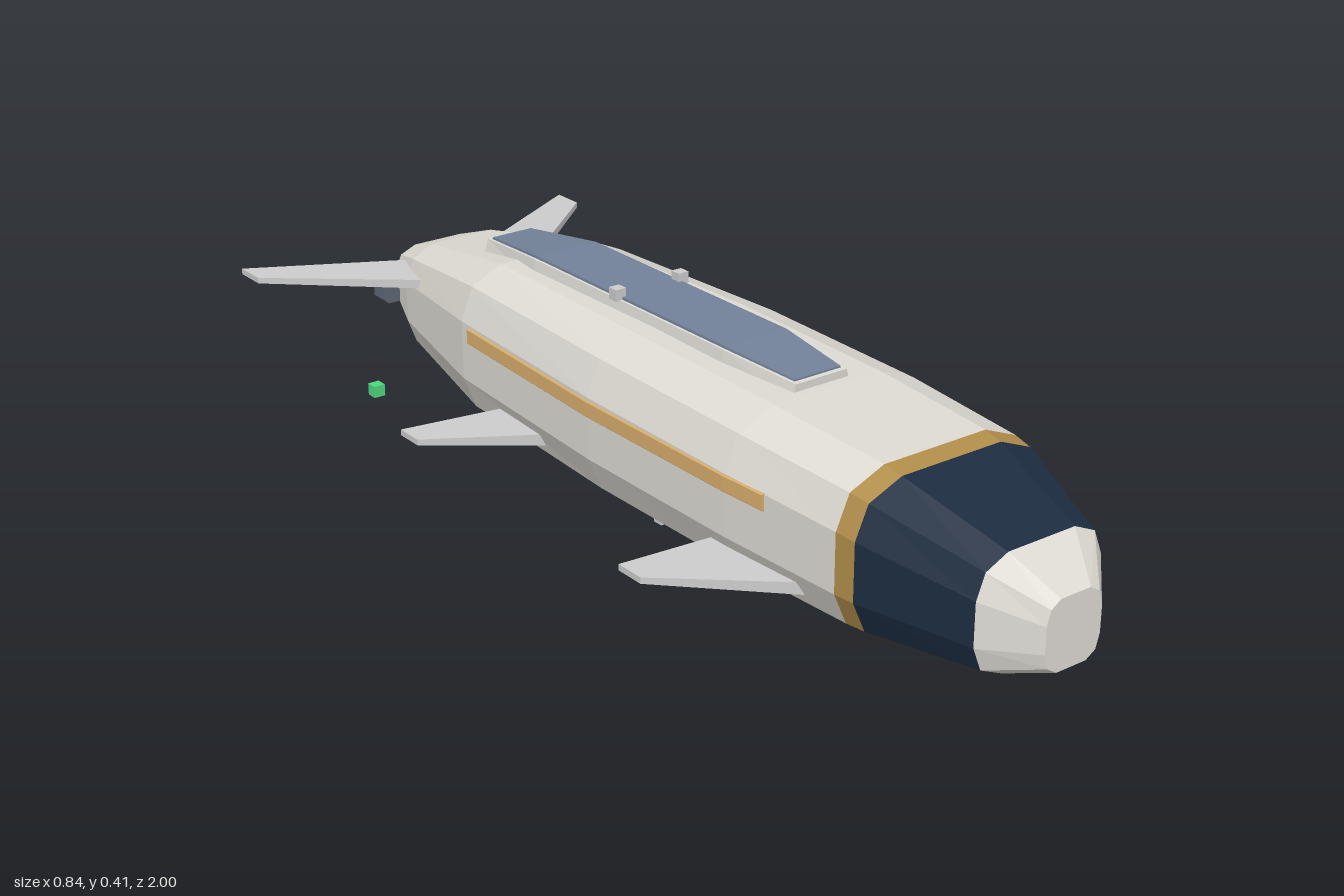
import * as THREE from 'three';

const mat = (color) => new THREE.MeshStandardMaterial({ color, flatShading: true });
const V = (x, y, z) => new THREE.Vector3(x, y, z);

// Skin a row of rings. The first ring runs counter-clockwise seen from outside its end.
function loft(rings, capStart = true, capEnd = true) {
  const pos = [];
  const tri = (...pts) => pts.forEach((p) => pos.push(p.x, p.y, p.z));
  const n = rings[0].length;
  for (let i = 0; i < rings.length - 1; i++) {
    const a = rings[i], b = rings[i + 1];
    for (let j = 0; j < n; j++) {
      const k = (j + 1) % n;
      tri(a[j], b[j], a[k]);
      tri(a[k], b[j], b[k]);
    }
  }
  const first = rings[0], last = rings[rings.length - 1];
  for (let j = 1; j < n - 1; j++) {
    if (capStart) tri(first[0], first[j], first[j + 1]);
    if (capEnd) tri(last[0], last[j + 1], last[j]);
  }
  const g = new THREE.BufferGeometry();
  g.setAttribute('position', new THREE.Float32BufferAttribute(pos, 3));
  g.computeVertexNormals();
  return g;
}

// Twelve-sided hull section
const QUARTER = [[1, 0.38], [0.87, 0.8], [0.53, 1]];
function hullRing([z, hw, bottom, top]) {
  const cy = (top + bottom) / 2, hh = (top - bottom) / 2;
  const up = [...QUARTER, ...QUARTER.map(([x, y]) => [-x, y]).reverse()];
  const all = [...up, ...up.map(([x, y]) => [-x, -y])];
  return all.map(([x, y]) => V(x * hw, cy + y * hh, z));
}

// Chamfered rectangle section
function octRing(cx, cy, z, hw, hh, c) {
  return [[hw, -hh + c], [hw, hh - c], [hw - c, hh], [-hw + c, hh],
    [-hw, hh - c], [-hw, -hh + c], [-hw + c, -hh], [hw - c, -hh]]
    .map(([x, y]) => V(cx + x, cy + y, z));
}

// Raised long panel: stations [z, half width, outer y], bevelled from the base height
function panel(stations, base, bevel) {
  return loft(stations.map(([z, w, y]) => {
    const ring = [V(-w, base, z), V(w, base, z), V(w - bevel, y, z), V(-w + bevel, y, z)];
    return y > base ? ring : ring.reverse();
  }));
}

// Tapered fin: root and tip are [x, front z, back z, half thickness]
function fin(root, tip, y, side) {
  const ring = ([x, zf, zb, t]) => [V(side * x, y - t, zf), V(side * x, y - t, zb),
    V(side * x, y + t, zb), V(side * x, y + t, zf)];
  const rings = [ring(tip), ring(root)];
  return loft(side > 0 ? rings : rings.reverse());
}

export function createModel() {
  const model = new THREE.Group();
  const white = mat(0xdddad3), grey = mat(0xcccccc), navy = mat(0x1c2c40);
  const gold = mat(0xb08d4a), stripe = mat(0xd9ae6c), slate = mat(0x5c6675);
  const darkFrame = mat(0x4c5566), glass = mat(0x73829a), glow = mat(0x6fa3cc);
  const add = (name, geometry, material, x = 0, y = 0, z = 0) => {
    const mesh = new THREE.Mesh(geometry, material);
    mesh.name = name;
    mesh.position.set(x, y, z);
    model.add(mesh);
    return mesh;
  };

  // Fuselage bands, front to back: [z, half width, bottom, top]
  const noseTip = [1, 0.062, 0.085, 0.217], noseBase = [0.92, 0.14, 0.062, 0.28];
  const collarFront = [0.71, 0.208, 0.053, 0.343], collarBack = [0.67, 0.214, 0.052, 0.35];
  const tail = [-0.875, 0.105, 0.13, 0.28];
  const hull = [collarBack, [0.4, 0.23, 0.05, 0.364], [0, 0.231, 0.048, 0.371],
    [-0.46, 0.205, 0.05, 0.368], [-0.78, 0.138, 0.085, 0.312], tail];
  add('noseCap', loft([noseTip, noseBase].map(hullRing), true, false), white);
  add('noseBand', loft([noseBase, collarFront].map(hullRing), false, false), navy);
  add('noseCollar', loft([collarFront, collarBack].map(hullRing), false, false), gold);
  add('fuselage', loft(hull.map(hullRing), false, false), white);
  add('sternPlate', loft([tail, [-0.88, 0.103, 0.132, 0.278]].map(hullRing), false, true), slate);

  // Upper canopy
  add('canopyFrame', panel([[0.38, 0.066, 0.379], [0.2, 0.084, 0.39], [-0.39, 0.084, 0.39],
    [-0.595, 0.06, 0.37]], 0.345, 0.008), white);
  add('canopyGlass', panel([[0.37, 0.056, 0.383], [0.2, 0.074, 0.395], [-0.39, 0.074, 0.395],
    [-0.585, 0.05, 0.375]], 0.355, 0.004), glass);

  // Belly hatch
  add('bellyFrame', panel([[0.46, 0.088, 0.03], [0.28, 0.112, 0.023], [-0.22, 0.112, 0.023],
    [-0.395, 0.088, 0.023]], 0.06, 0.01), darkFrame);
  add('bellyGlass', panel([[0.45, 0.072, 0.027], [0.28, 0.094, 0.02], [-0.22, 0.094, 0.02],
    [-0.385, 0.072, 0.02]], 0.05, 0.004), glass);

  const cube = new THREE.BoxGeometry(0.023, 0.023, 0.023);
  for (const side of [1, -1]) {
    const label = side > 0 ? 'left' : 'right';

    // Fins
    add(label + 'FrontFin', fin([0.19, 0.59, 0.355, 0.012], [0.4, 0.39, 0.328, 0.006], 0.113, side), grey);
    add(label + 'RearFin', fin([0.19, -0.175, -0.335, 0.012], [0.4, -0.32, -0.38, 0.006], 0.113, side), grey);
    add(label + 'TailFin', fin([0.09, -0.66, -0.82, 0.01], [0.4, -0.93, -1, 0.006], 0.26, side), grey);

    // Side stripe, following the hull sides
    const stripeRing = ([z, x]) => octRing(side * x, 0.249, z, 0.008, 0.016, 0.002);
    add(label + 'Stripe', loft([[0.5, 0.221], [0.4, 0.226], [0, 0.227], [-0.43, 0.205]].map(stripeRing)), stripe);

    // Engine with glowing nozzle
    const ex = side * 0.116, ey = 0.21;
    add(label + 'Engine', loft([octRing(ex, ey, -0.85, 0.036, 0.036, 0.01),
      octRing(ex, ey, -0.89, 0.036, 0.036, 0.01), octRing(ex, ey, -0.898, 0.03, 0.03, 0.009)]), slate);
    add(label + 'Nozzle', loft([octRing(ex, ey, -0.89, 0.027, 0.027, 0.008),
      octRing(ex, ey, -0.901, 0.027, 0.027, 0.008)]), glow);

    // Sensor blocks and position lights
    add(label + 'TopSensor', cube, grey, side * 0.073, 0.4, -0.12);
    add(label + 'BellySensor', cube, grey, side * 0.098, 0.0115, 0.05);
    add(label + 'PositionLight', cube, mat(side > 0 ? 0xd93a34 : 0x4fd67f), side * 0.408, 0.181, -0.45);
  }
  return model;
}
